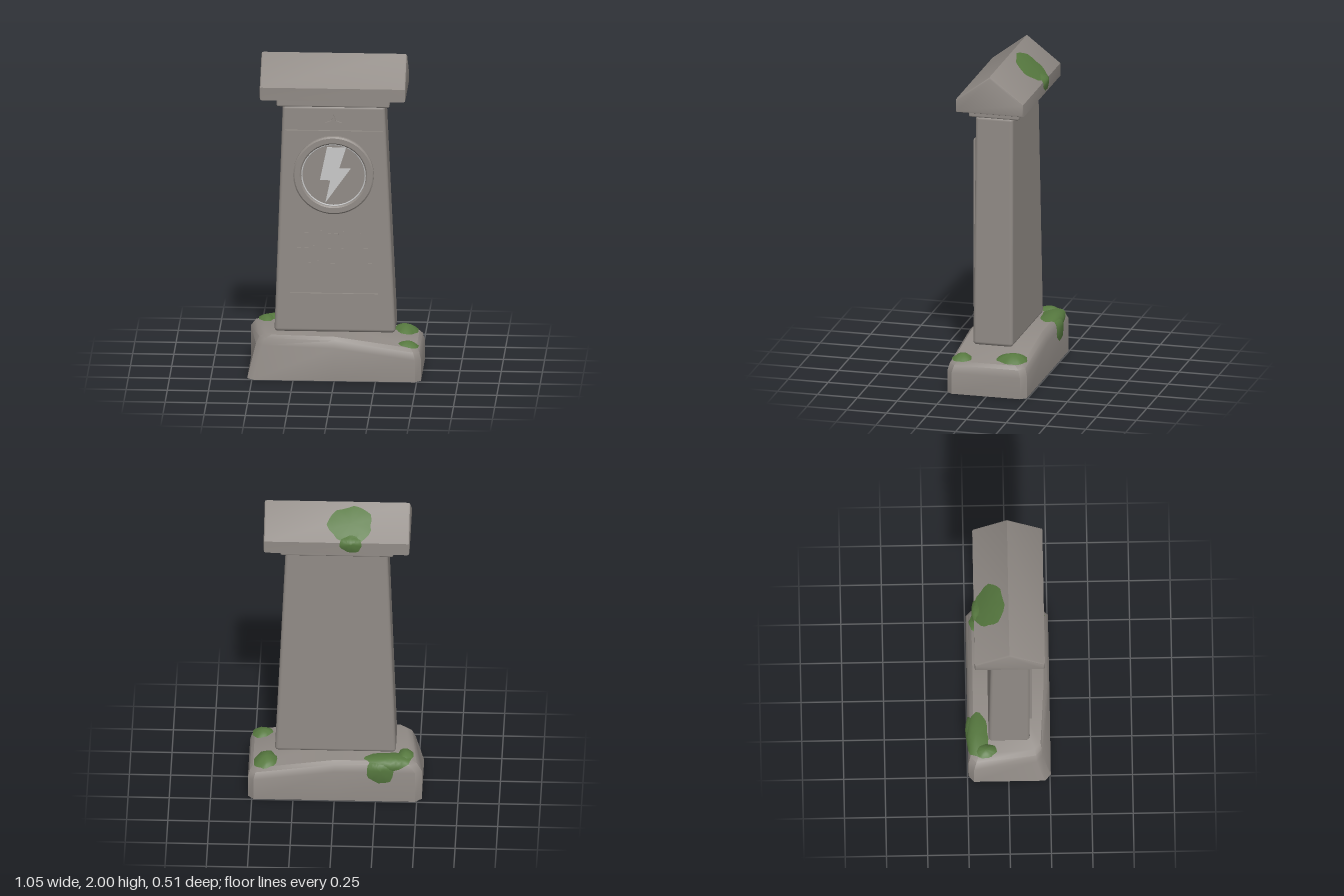
import * as THREE from 'three';
import { toCreasedNormals } from 'three/addons/utils/BufferGeometryUtils.js';
import { RoundedBoxGeometry } from 'three/addons/geometries/RoundedBoxGeometry.js';

const FRONT = 0.13; // z of the pillar face

export function createModel() {
  const model = new THREE.Group();
  const stone = new THREE.MeshStandardMaterial({ color: 0x918b86 });
  const silver = new THREE.MeshStandardMaterial({ color: 0xc8c8c8 });
  const moss = new THREE.MeshStandardMaterial({ color: 0x56783f, side: THREE.DoubleSide });
  stone.name = 'stone';
  silver.name = 'silver';
  moss.name = 'moss';

  const add = (name, geometry, material, x = 0, y = 0, z = 0) => {
    const mesh = new THREE.Mesh(geometry, material);
    mesh.name = name;
    mesh.position.set(x, y, z);
    model.add(mesh);
    return mesh;
  };
  const polygon = (points) => new THREE.Shape(points.map(([x, y]) => new THREE.Vector2(x, y)));
  const plate = (shape, depth) =>
    new THREE.ExtrudeGeometry(shape, { depth, bevelEnabled: false, curveSegments: 32 });

  // Worn base: stacked outlines whose top sags toward +x
  const baseTop = (x) => 0.27 - 0.14 * Math.max(0, x);
  const outline = [
    [-0.49, 0.255], [0, 0.255], [0.49, 0.255], [0.525, 0.22], [0.525, -0.21],
    [0.49, -0.245], [0, -0.245], [-0.49, -0.245], [-0.53, -0.21], [-0.53, 0.22],
  ];
  const n = outline.length;
  const rings = [[null, 0], [0.065, 0], [0.02, 0.4], [0, 1]]; // drop below top, inset amount
  const verts = [], faces = [];
  rings.forEach(([drop, inset]) => {
    for (const [x, z] of outline) {
      const worn = x < -0.4 && z > 0 && drop !== null ? 0.05 * (1 - inset * 0.5) : 0;
      const px = x - Math.sign(x) * inset * (x < 0 ? 0.08 : 0.03) + worn;
      const pz = z - Math.sign(z) * inset * 0.035 - worn;
      verts.push(px, drop === null ? 0 : baseTop(px) - drop, pz);
    }
  });
  verts.push(0, 0, 0, 0, 0.27, 0);
  const last = (rings.length - 1) * n, bottomCentre = rings.length * n;
  for (let i = 0; i < n; i++) {
    const j = (i + 1) % n;
    for (let r = 0; r < last; r += n) {
      faces.push(r + i, r + j, r + n + j, r + i, r + n + j, r + n + i);
    }
    faces.push(bottomCentre, j, i, bottomCentre + 1, last + i, last + j);
  }
  const base = new THREE.BufferGeometry();
  base.setAttribute('position', new THREE.Float32BufferAttribute(verts, 3));
  base.setIndex(faces);
  add('base', toCreasedNormals(base, 0.7), stone);

  // Tapered pillar
  const pillar = new RoundedBoxGeometry(0.735, 1.435, 0.25, 3, 0.022);
  const p = pillar.attributes.position;
  for (let i = 0; i < p.count; i++) {
    const t = p.getY(i) / 1.435 + 0.5;
    p.setX(i, p.getX(i) * (1 - 0.156 * t) - 0.003 - 0.007 * t);
    p.setZ(i, FRONT + (p.getZ(i) - 0.125) * (1 - 0.06 * t));
  }
  add('pillar', pillar, stone, 0, 0.9875, 0);

  // Neck slab and gabled cap
  add('neck', new RoundedBoxGeometry(0.685, 0.052, 0.315, 2, 0.01), stone, -0.0125, 1.731, 0.0075);
  add('neckStep', new THREE.BoxGeometry(0.63, 0.02, 0.28), stone, -0.0125, 1.756, 0.0075);
  const gable = polygon([[-0.22, 1.76], [0.205, 1.76], [0.205, 1.84], [-0.005, 2.003], [-0.22, 1.84]]);
  const cap = new THREE.ExtrudeGeometry(gable, {
    depth: 0.861, bevelSize: 0.012, bevelThickness: 0.012, bevelOffset: -0.012, bevelSegments: 2,
  });
  cap.rotateY(Math.PI / 2);
  add('cap', toCreasedNormals(cap, 0.6), stone, -0.443, 0, 0);

  // Raised rectangular border
  const rect = (x0, y0, x1, y1) => [[x0, y0], [x1, y0], [x1, y1], [x0, y1]];
  const border = polygon(rect(-0.305, 0.49, 0.29, 1.55));
  border.holes.push(polygon(rect(-0.275, 0.52, 0.26, 1.52)));
  add('panelBorder', plate(border, 0.014), stone, 0, 0, FRONT);

  // Round medallion with a recessed field
  const profile = [[0.196, 0], [0.196, 0.02], [0.205, 0.028], [0.236, 0.028], [0.245, 0.02], [0.245, 0]]
    .map(([r, h]) => new THREE.Vector2(r, h)).reverse();
  const ring = new THREE.LatheGeometry(profile, 48);
  ring.rotateX(Math.PI / 2);
  const ringStone = stone.clone();
  ringStone.name = 'stoneRing';
  ringStone.side = THREE.DoubleSide;
  add('medallionRing', toCreasedNormals(ring, 0.6), ringStone, -0.01, 1.27, FRONT);
  add('medallionTrim', new THREE.TorusGeometry(0.193, 0.005, 6, 48), silver, -0.01, 1.27, FRONT + 0.012);
  const field = new THREE.CylinderGeometry(0.197, 0.197, 0.008, 48);
  field.rotateX(Math.PI / 2);
  add('medallionField', field, stone, -0.01, 1.27, FRONT + 0.004);
  const bolt = polygon([
    [-0.05, 1.445], [-0.093, 1.238], [-0.03, 1.238], [-0.06, 1.095],
    [0.093, 1.312], [0.024, 1.312], [0.066, 1.445],
  ]);
  add('zigzagInlay', plate(bolt, 0.008), silver, 0, 0, FRONT + 0.008);

  // Four-pointed star
  const star = [];
  for (let i = 0; i < 8; i++) {
    const r = i % 2 ? 0.019 : 0.05, a = (i * Math.PI) / 4;
    star.push([Math.cos(a) * r, Math.sin(a) * r]);
  }
  add('star', plate(polygon(star), 0.014), stone, -0.01, 1.6, FRONT);

  // Rows of worn abstract tick marks
  [[0.895, -0.22], [0.8, -0.22], [0.705, -0.15]].forEach(([y, start], row) => {
    for (let i = 0, x = start; x < 0.21; i++, x += 0.045) {
      const upright = (i + row) % 3 === 0;
      const mark = new THREE.BoxGeometry(upright ? 0.008 : 0.026, upright ? 0.036 : 0.008, 0.006);
      add('wornMark', mark, stone, x, y, FRONT + 0.002);
    }
  });

  // Moss: irregular domes that follow a top surface and hang over its back edge
  const mossPatch = (name, [cx, cz], [rx, rz], thick, top, edge, radius, phase) => {
    const segs = 22, steps = 6, pos = [], idx = [];
    for (let k = 0; k <= steps; k++) {
      for (let i = 0; i < segs; i++) {
        const a = (i / segs) * Math.PI * 2, f = k / steps;
        const wobble = 0.95 + 0.06 * Math.sin(3 * a + phase) + 0.04 * Math.sin(7 * a + phase * 2);
        const x = cx + Math.cos(a) * rx * f * wobble;
        const s = cz + Math.sin(a) * rz * f * wobble;
        const over = Math.max(0, edge - s);
        const bend = Math.min(over / radius, Math.PI / 2);
        const lift = 0.003 + thick * (1 - f * f);
        const hang = Math.max(0, over - (radius * Math.PI) / 2);
        const z = over > 0 ? edge - radius * Math.sin(bend) : s;
        const y = top(x, Math.max(s, edge)) - radius * (1 - Math.cos(bend)) - hang;
        pos.push(x, y + lift * Math.cos(bend), z - lift * Math.sin(bend));
      }
    }
    for (let k = 0; k < steps; k++) {
      for (let i = 0; i < segs; i++) {
        const a = k * segs + i, b = k * segs + ((i + 1) % segs);
        idx.push(a, b, b + segs, a, b + segs, a + segs);
      }
    }
    const g = new THREE.BufferGeometry();
    g.setAttribute('position', new THREE.Float32BufferAttribute(pos, 3));
    g.setIndex(idx.reverse());
    g.computeVertexNormals();
    add(name, g, moss);
  };
  const roof = (x, z) => 2.003 - (0.005 - z) * 0.776;
  mossPatch('capMoss', [-0.095, -0.115], [0.14, 0.1], 0.01, roof, -0.192, 0.013, 1);
  mossPatch('capMossTail', [-0.1, -0.215], [0.07, 0.065], 0.012, roof, -0.192, 0.013, 2);
  mossPatch('baseMossBack', [-0.33, -0.195], [0.15, 0.08], 0.018, baseTop, -0.205, 0.04, 0.5);
  mossPatch('baseMossTail', [-0.28, -0.275], [0.085, 0.1], 0.012, baseTop, -0.205, 0.04, 2.5);
  mossPatch('baseMossLeftEnd', [-0.43, -0.14], [0.05, 0.07], 0.022, baseTop, -0.205, 0.04, 4);
  mossPatch('baseMossCorner', [0.42, -0.135], [0.075, 0.1], 0.035, baseTop, -0.205, 0.04, 3);
  mossPatch('baseMossFront', [0.45, 0.172], [0.065, 0.062], 0.025, baseTop, -0.205, 0.04, 5);

  return model;
}
